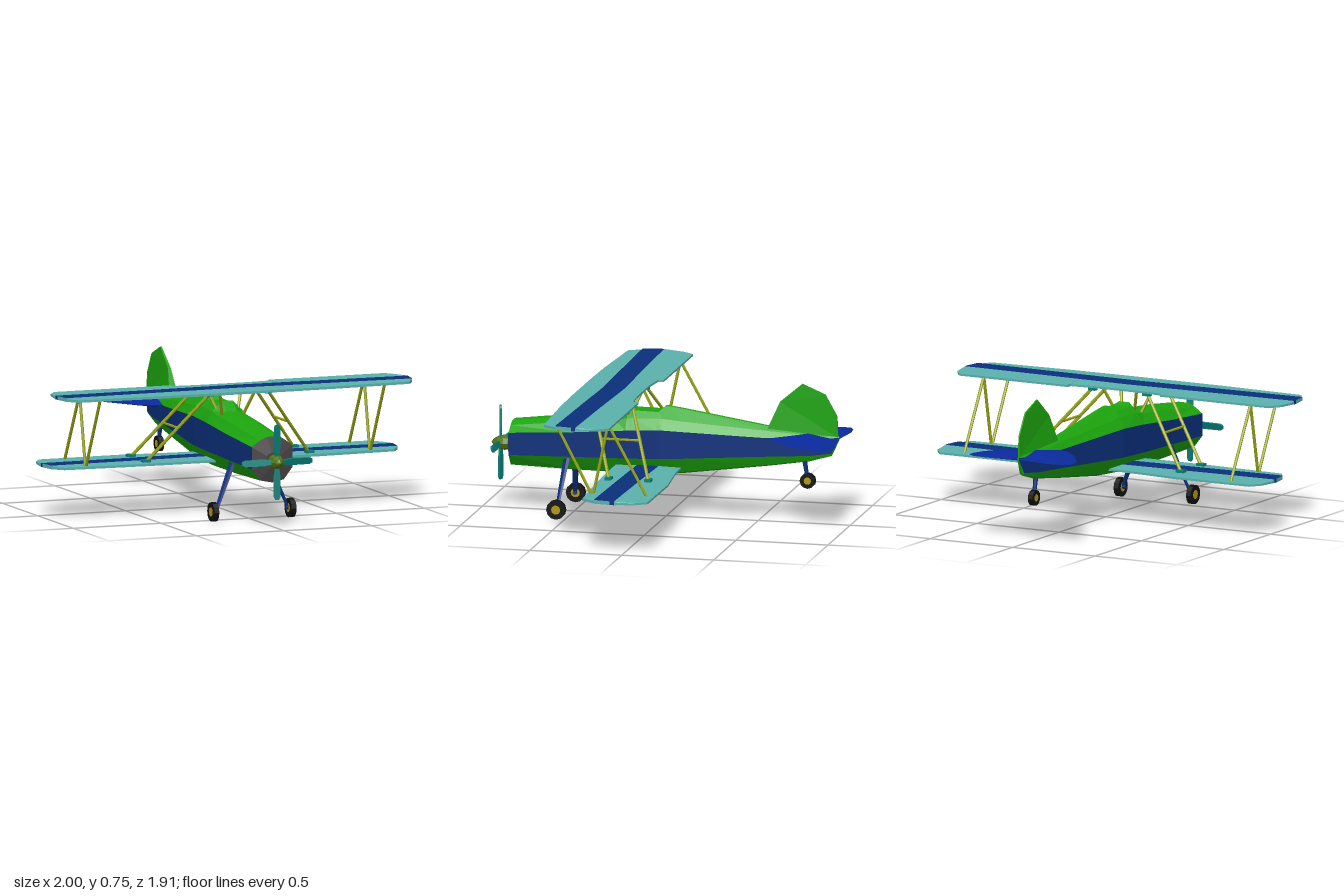
import * as THREE from 'three';

const GREEN = 0x1ca40e, BLUE = 0x0a2f7a, TAIL = 0x0a2a9c, TEAL = 0x5ab0ac, OLIVE = 0x95a414;
const PROP = 0x088078, BLACK = 0x101010, YELLOW = 0xb0980c, GREY = 0x494547;
const V = (x, y, z) => new THREE.Vector3(x, y, z);
const mats = {};
const mat = c => mats[c] ??= new THREE.MeshStandardMaterial({ color: c, flatShading: true });

function add(parent, name, geo, color, pos) {
  const m = new THREE.Mesh(geo, mat(color));
  m.name = name;
  if (pos) m.position.set(...pos);
  parent.add(m);
  return m;
}

// Collects triangles and quads (corners counter-clockwise on the +x half) and makes a mesh
class Faces {
  constructor() { this.p = []; }
  tri(side, a, b, c) {
    for (const [x, y, z] of side > 0 ? [a, b, c] : [a, c, b]) this.p.push(x * side, y, z);
  }
  quad(side, a, b, c, d) {
    this.tri(side, a, b, c);
    this.tri(side, a, c, d);
  }
  mesh(parent, name, color) {
    const g = new THREE.BufferGeometry();
    g.setAttribute('position', new THREE.Float32BufferAttribute(this.p, 3));
    g.computeVertexNormals();
    return add(parent, name, g, color);
  }
}

// Round bar between two points
function bar(parent, name, a, b, r1, r2, color) {
  const d = b.clone().sub(a);
  const m = add(parent, name, new THREE.CylinderGeometry(r2, r1, d.length(), 6), color);
  m.position.copy(a).add(b).multiplyScalar(0.5);
  m.quaternion.setFromUnitVectors(V(0, 1, 0), d.normalize());
  return m;
}

// Fuselage stations: z, top y, top half width, shoulder y, shoulder x, stripe top, stripe bottom, half width, bottom y
const BODY = [
  [0.83, 0.48, 0.03, 0.462, 0.07, 0.43, 0.31, 0.115, 0.235],
  [0.5, 0.52, 0.03, 0.5, 0.075, 0.45, 0.318, 0.118, 0.225],
  [0.26, 0.538, 0.03, 0.52, 0.08, 0.47, 0.323, 0.118, 0.224],
  [0.195, 0.587, 0.03, 0.535, 0.085, 0.475, 0.325, 0.118, 0.224],
  [0.165, 0.572, 0.05, 0.537, 0.085, 0.477, 0.325, 0.117, 0.224],
  [0.03, 0.57, 0.05, 0.54, 0.08, 0.483, 0.33, 0.115, 0.228],
  [0, 0.598, 0.012, 0.54, 0.078, 0.485, 0.33, 0.114, 0.23],
  [-0.1, 0.585, 0.012, 0.53, 0.072, 0.48, 0.335, 0.104, 0.237],
  [-0.56, 0.515, 0.012, 0.495, 0.035, 0.46, 0.36, 0.055, 0.3],
  [-0.78, 0.49, 0.006, 0.48, 0.02, 0.465, 0.37, 0.032, 0.335],
  [-0.9, 0.48, 0.003, 0.475, 0.008, 0.468, 0.385, 0.014, 0.37],
  [-0.94, 0.478, 0.001, 0.475, 0.002, 0.47, 0.46, 0.004, 0.455],
];

function fuselage(g) {
  const rings = BODY.map(([z, ty, tx, sy, sx, h, l, w, b]) => [
    [0, ty, z], [tx, ty, z], [sx, sy, z], [w, h, z], [w, l, z],
    [w * 0.58, b + (l - b) * 0.18, z], [0, b, z]]);
  const hull = new Faces(), stripe = new Faces(), nose = new Faces();
  const first = rings[0], last = rings.at(-1), centre = [0, 0.355, 0.852];
  const inner = first.map(([x, y]) => [x * 0.35, 0.355 + (y - 0.355) * 0.35, 0.852]);
  for (const s of [1, -1]) {
    for (let k = 0; k + 1 < rings.length; k++) for (let j = 0; j < 6; j++)
      (j === 3 ? stripe : hull).quad(s, rings[k][j], rings[k][j + 1], rings[k + 1][j + 1], rings[k + 1][j]);
    for (let j = 0; j < 6; j++) {
      // Shallow dark cowl face in front, small cap at the rear
      nose.quad(s, inner[j], inner[j + 1], first[j + 1], first[j]);
      nose.tri(s, centre, inner[j + 1], inner[j]);
      hull.tri(s, [0, 0.467, -0.94], last[j], last[j + 1]);
    }
  }
  hull.mesh(g, 'fuselage', GREEN);
  stripe.mesh(g, 'fuselageStripe', BLUE);
  nose.mesh(g, 'cowlFace', GREY);
}

// Wing stations: x, rear edge z, stripe rear z, stripe front z, front edge z
const UPPER = [
  [0, 0.125, 0.228, 0.345, 0.463], [0.15, 0.125, 0.232, 0.348, 0.463], [0.28, 0.112, 0.236, 0.352, 0.462],
  [0.28, 0.083, 0.236, 0.352, 0.462], [0.5, 0.083, 0.243, 0.357, 0.458],
  [0.94, 0.083, 0.253, 0.366, 0.437], [0.985, 0.145, 0.253, 0.366, 0.366], [1, 0.225, 0.253, 0.275, 0.275]];
const LOWER = UPPER.map(([x, r, ...rest]) =>
  [x, x < 0.2 ? -0.097 : x < 0.3 ? -0.107 : x < 0.6 ? -0.13 : r - 0.21, ...rest.map(z => z - 0.21)]);

function wing(g, name, y, stations) {
  const top = [0.004, 0.01, 0.011, 0.006], bottom = [-0.007, -0.009, -0.009, -0.007];
  const strips = [new Faces(), new Faces(), new Faces()];
  const T = (k, i) => [stations[k][0], y + top[i], stations[k][i + 1]];
  const B = (k, i) => [stations[k][0], y + bottom[i], stations[k][i + 1]];
  const last = stations.length - 1;
  for (const s of [1, -1]) {
    for (let k = 0; k < last; k++) {
      for (let i = 0; i < 3; i++) {
        strips[i].quad(s, T(k, i), T(k, i + 1), T(k + 1, i + 1), T(k + 1, i));
        strips[i].quad(s, B(k, i + 1), B(k, i), B(k + 1, i), B(k + 1, i + 1));
      }
      strips[2].quad(s, T(k, 3), B(k, 3), B(k + 1, 3), T(k + 1, 3));
      strips[0].quad(s, B(k, 0), T(k, 0), T(k + 1, 0), B(k + 1, 0));
    }
    for (let i = 0; i < 3; i++) strips[i].quad(s, T(last, i + 1), B(last, i + 1), B(last, i), T(last, i));
  }
  ['RearPanel', 'Stripe', 'FrontPanel'].forEach((n, i) => strips[i].mesh(g, name + n, i === 1 ? BLUE : TEAL));
}

function tail(g) {
  // Tailplane: thick at the middle, thin at the rim
  const rim = [[0, -0.56], [0.045, -0.57], [0.11, -0.605], [0.2, -0.69], [0.285, -0.81], [0.308, -0.88],
    [0.305, -0.93], [0.26, -0.955], [0.18, -0.96], [0, -0.935]].map(([x, z]) => [x, 0.46, z]);
  const plane = new Faces();
  for (const s of [1, -1]) for (let i = 0; i + 1 < rim.length; i++) {
    plane.tri(s, [0, 0.488, -0.77], rim[i], rim[i + 1]);
    plane.tri(s, [0, 0.422, -0.77], rim[i + 1], rim[i]);
  }
  plane.mesh(g, 'tailplane', TAIL);
  // Fin: wide at the root, thin at the top and rear
  const edge = [[-0.54, 0.47], [-0.56, 0.515], [-0.62, 0.65], [-0.74, 0.752], [-0.865, 0.7], [-0.93, 0.585], [-0.935, 0.47]];
  const shape = new THREE.Shape(edge.map(([z, y]) => new THREE.Vector2(-z, y)));
  const geo = new THREE.ExtrudeGeometry(shape, { depth: 1, bevelEnabled: false });
  geo.translate(0, 0, -0.5).rotateY(Math.PI / 2);
  const p = geo.attributes.position;
  for (let i = 0; i < p.count; i++) {
    const rise = (p.getY(i) - 0.47) / 0.28, back = (-0.54 - p.getZ(i)) / 0.4;
    p.setX(i, p.getX(i) * Math.max(0.008, 0.06 * (1 - back) * (1 - rise)));
  }
  geo.computeVertexNormals();
  add(g, 'fin', geo, GREEN);
}

function wheel(g, name, x, y, z, r, w) {
  add(g, name + 'Tyre', new THREE.CylinderGeometry(r, r, w, 12).rotateZ(Math.PI / 2), BLACK, [x, y, z]);
  add(g, name + 'Hub', new THREE.CylinderGeometry(r * 0.48, r * 0.48, w + 0.002, 10).rotateZ(Math.PI / 2), YELLOW, [x, y, z]);
}

function propeller(g) {
  const prop = new THREE.Group();
  prop.name = 'propeller';
  prop.position.set(0, 0.352, 0.9);
  const pts = [[0.02, -0.06], [0.036, -0.045], [0.042, -0.02], [0.034, 0.012], [0.018, 0.038], [0, 0.05]];
  add(prop, 'spinner', new THREE.LatheGeometry(pts.map(q => new THREE.Vector2(...q)), 8).rotateX(Math.PI / 2), 0x4f7414);
  const blade = new THREE.Shape([[-0.01, 0.02], [0.01, 0.02], [0.019, 0.08], [0.018, 0.185], [0.01, 0.2],
    [-0.01, 0.2], [-0.018, 0.185], [-0.019, 0.08]].map(q => new THREE.Vector2(...q)));
  const geo = new THREE.ExtrudeGeometry(blade, { depth: 0.01, bevelEnabled: false }).translate(0, 0, -0.005).rotateY(0.3);
  for (let i = 0; i < 4; i++) add(prop, 'blade', geo, PROP).rotation.z = i * Math.PI / 2;
  g.add(prop);
}

export function createModel() {
  const g = new THREE.Group();
  g.name = 'biplane';
  fuselage(g);
  wing(g, 'upperWing', 0.665, UPPER);
  wing(g, 'lowerWing', 0.277, LOWER);
  tail(g);
  propeller(g);

  for (const s of [1, -1]) {
    // Outer N-struts
    const x = 0.81 * s, lo = 0.28, hi = 0.66;
    bar(g, 'outerStrut', V(x, lo, 0.21), V(x, hi, 0.41), 0.008, 0.008, OLIVE);
    bar(g, 'outerStrut', V(x, lo, -0.09), V(x, hi, 0.12), 0.008, 0.008, OLIVE);
    bar(g, 'outerStrut', V(x, lo, 0.2), V(x, hi, 0.12), 0.008, 0.008, OLIVE);
    // Inner slanted struts with pads, joined by a crossbar
    for (const [zl, zh] of [[0.2, 0.36], [-0.015, 0.15]]) {
      bar(g, 'innerStrut', V(0.465 * s, 0.285, zl), V(0.165 * s, 0.655, zh), 0.009, 0.009, OLIVE);
      add(g, 'strutPad', new THREE.BoxGeometry(0.045, 0.016, 0.035), PROP, [0.465 * s, 0.291, zl]);
      add(g, 'strutPad', new THREE.BoxGeometry(0.04, 0.016, 0.035), PROP, [0.165 * s, 0.65, zh]);
    }
    bar(g, 'strutCrossbar', V(0.315 * s, 0.47, 0.28), V(0.315 * s, 0.47, 0.067), 0.007, 0.007, OLIVE);
    // Cabane struts above the fuselage
    bar(g, 'cabaneStrut', V(0.06 * s, 0.52, 0.27), V(0.1 * s, 0.655, 0.34), 0.008, 0.008, OLIVE);
    bar(g, 'cabaneStrut', V(0.06 * s, 0.54, 0.2), V(0.1 * s, 0.655, 0.15), 0.008, 0.008, OLIVE);
    // Main landing gear with flattened legs
    bar(g, 'gearLeg', V(0.09 * s, 0.33, 0.515), V(0.205 * s, 0.055, 0.545), 0.023, 0.012, BLUE).scale.x = 0.6;
    bar(g, 'axle', V(0.19 * s, 0.055, 0.545), V(0.22 * s, 0.052, 0.545), 0.012, 0.012, BLUE);
    wheel(g, 'mainWheel', 0.22 * s, 0.052, 0.545, 0.052, 0.028);
  }

  // Tail wheel
  bar(g, 'tailLeg', V(0, 0.35, -0.75), V(0, 0.23, -0.77), 0.014, 0.009, BLUE);
  wheel(g, 'tailWheel', 0, 0.23, -0.77, 0.042, 0.028);
  return g;
}
